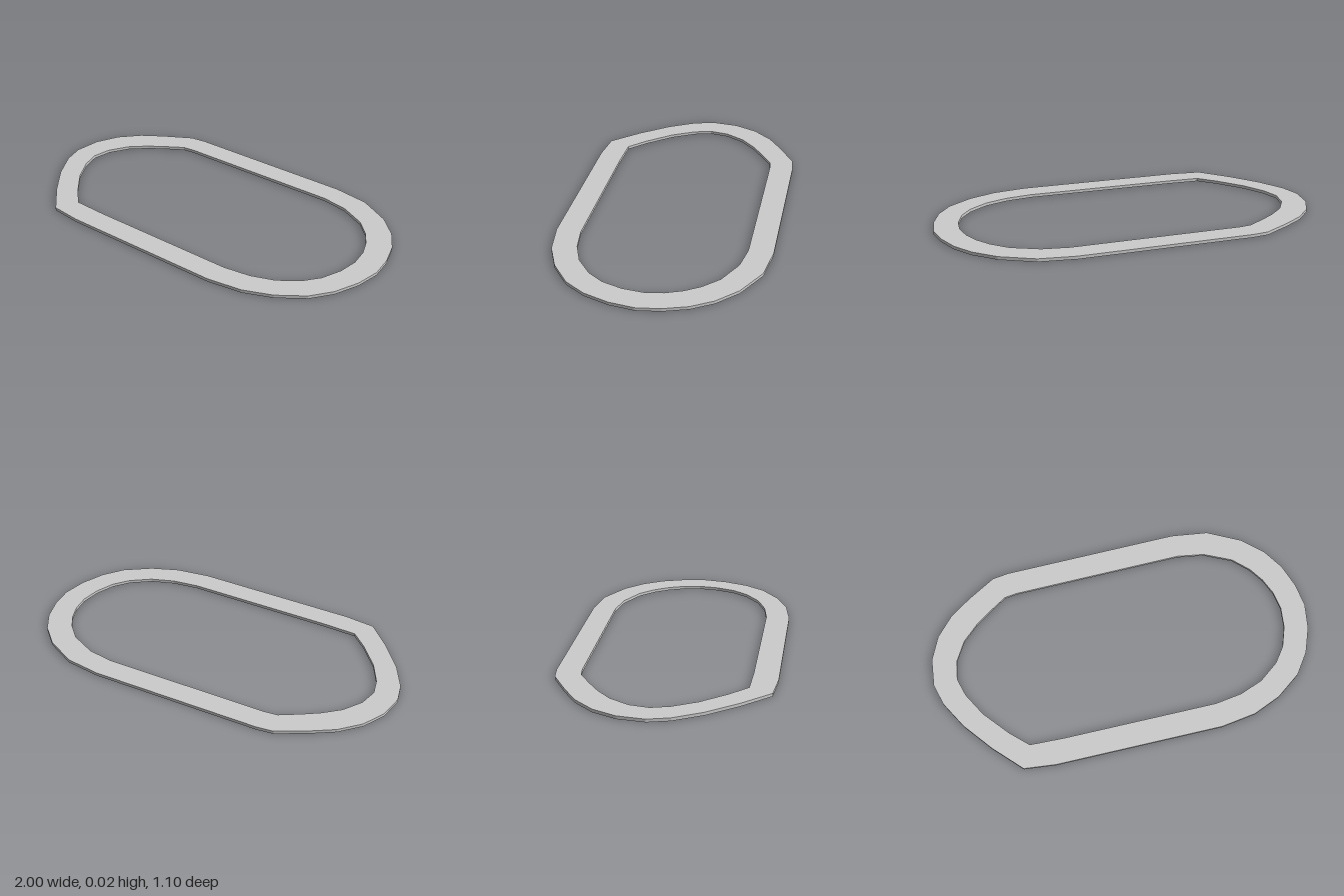
import * as THREE from 'three';

const THICKNESS = 0.016;

// Outlines in plan, as [x, z] corners
const OUTER = [
  [-0.585, -0.53], [-0.5, -0.542], [0.41, -0.555], [0.6, -0.53], [0.77, -0.443], [0.875, -0.345],
  [0.942, -0.24], [0.983, -0.12], [1, 0], [0.98, 0.13], [0.93, 0.26], [0.855, 0.365],
  [0.725, 0.46], [0.58, 0.52], [0.4, 0.547], [-0.47, 0.547], [-0.635, 0.53], [-0.77, 0.39],
  [-0.89, 0.24], [-0.97, 0.1], [-1, -0.01], [-0.985, -0.15], [-0.93, -0.27], [-0.84, -0.37], [-0.73, -0.445],
];
const INNER = [
  [-0.545, -0.408], [-0.48, -0.417], [0.41, -0.43], [0.55, -0.408], [0.69, -0.342], [0.77, -0.265],
  [0.82, -0.19], [0.855, -0.105], [0.87, -0.01], [0.858, 0.095], [0.82, 0.2], [0.76, 0.28],
  [0.66, 0.355], [0.54, 0.4], [0.4, 0.421], [-0.4, 0.421], [-0.58, 0.415], [-0.67, 0.33],
  [-0.78, 0.2], [-0.848, 0.08], [-0.875, -0.015], [-0.858, -0.115], [-0.8, -0.215], [-0.72, -0.29], [-0.64, -0.347],
];

const toPoints = (corners) => corners.map(([x, z]) => new THREE.Vector2(x, z));

export function createModel() {
  const group = new THREE.Group();
  group.name = 'loop';

  // Flat band with an open middle, laid down on y = 0
  const shape = new THREE.Shape(toPoints(OUTER));
  shape.holes.push(new THREE.Path(toPoints(INNER)));
  const geometry = new THREE.ExtrudeGeometry(shape, { depth: THICKNESS, bevelEnabled: false });
  geometry.rotateX(Math.PI / 2).translate(0, THICKNESS, 0);

  const band = new THREE.Mesh(geometry, new THREE.MeshStandardMaterial({ color: 0xcccccc, flatShading: true }));
  band.name = 'flatBand';
  group.add(band);
  return group;
}
